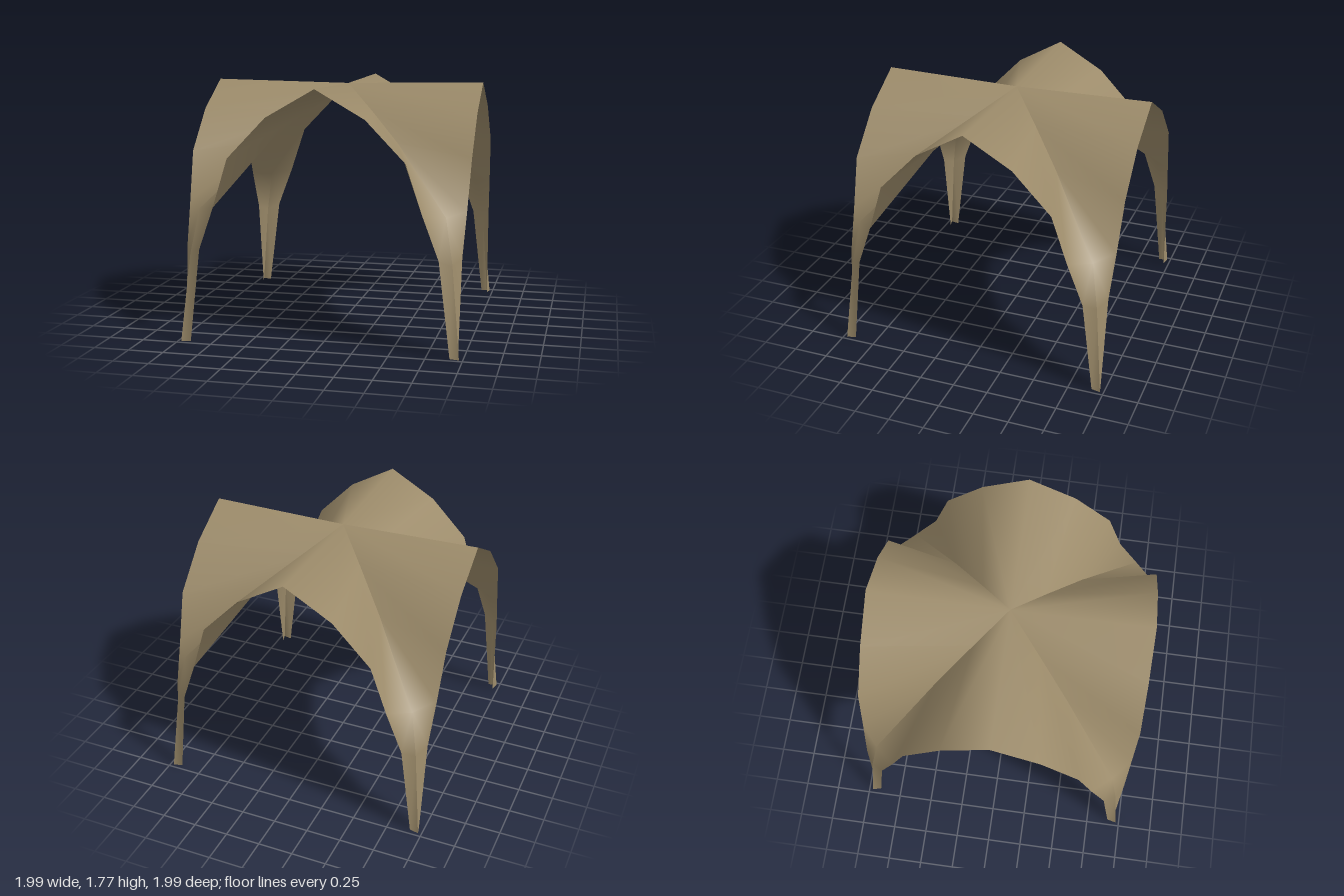
import * as THREE from 'three';

// Half of one web's open arch edge, from crown to foot
const EDGE = [
  [0, 1.775, 0.995], [0.34, 1.58, 0.995], [0.61, 1.30, 0.995],
  [0.72, 0.96, 0.982], [0.83, 0.66, 0.968], [0.91, 0, 0.96],
];
// Diagonal groin as [distance along x and z, height], from centre to foot
const GROIN = [[0, 1.757], [0.225, 1.575], [0.46, 1.37], [0.86, 0.93], [0.915, 0.62], [0.975, 0]];

// One web of the vault facing +z, with its halves of the two adjoining legs
function webGeometry() {
  const positions = [], index = [];
  const last = EDGE.length - 1;
  const columns = 2 * last + 1;
  for (let c = 0; c < columns; c++) {
    const side = Math.sign(c - last), i = Math.abs(c - last);
    const [x, y, z] = EDGE[i];
    const [g, h] = GROIN[i];
    positions.push(side * x, y, z, side * g, h, g);
  }
  for (let i = 0; i < last; i++) {
    for (const side of [1, -1]) {
      const near = 2 * (last + side * i), far = 2 * (last + side * (i + 1));
      const [e0, g0, e1, g1] = [near, near + 1, far, far + 1];
      if (side > 0) index.push(g0, e0, e1, g0, e1, g1);
      else index.push(g0, e1, e0, g0, g1, e1);
    }
  }
  const geometry = new THREE.BufferGeometry();
  geometry.setAttribute('position', new THREE.Float32BufferAttribute(positions, 3));
  geometry.setIndex(index);
  geometry.computeVertexNormals();
  return geometry;
}

export function createModel() {
  const model = new THREE.Group();
  model.name = 'groinVault';
  const material = new THREE.MeshStandardMaterial({ color: 0x9c8b6a, side: THREE.DoubleSide });
  const geometry = webGeometry();
  // Four equal webs meet along sharp diagonal groins
  ['frontWeb', 'leftWeb', 'backWeb', 'rightWeb'].forEach((name, i) => {
    const web = new THREE.Mesh(geometry, material);
    web.name = name;
    web.rotation.y = i * Math.PI / 2;
    model.add(web);
  });
  return model;
}
